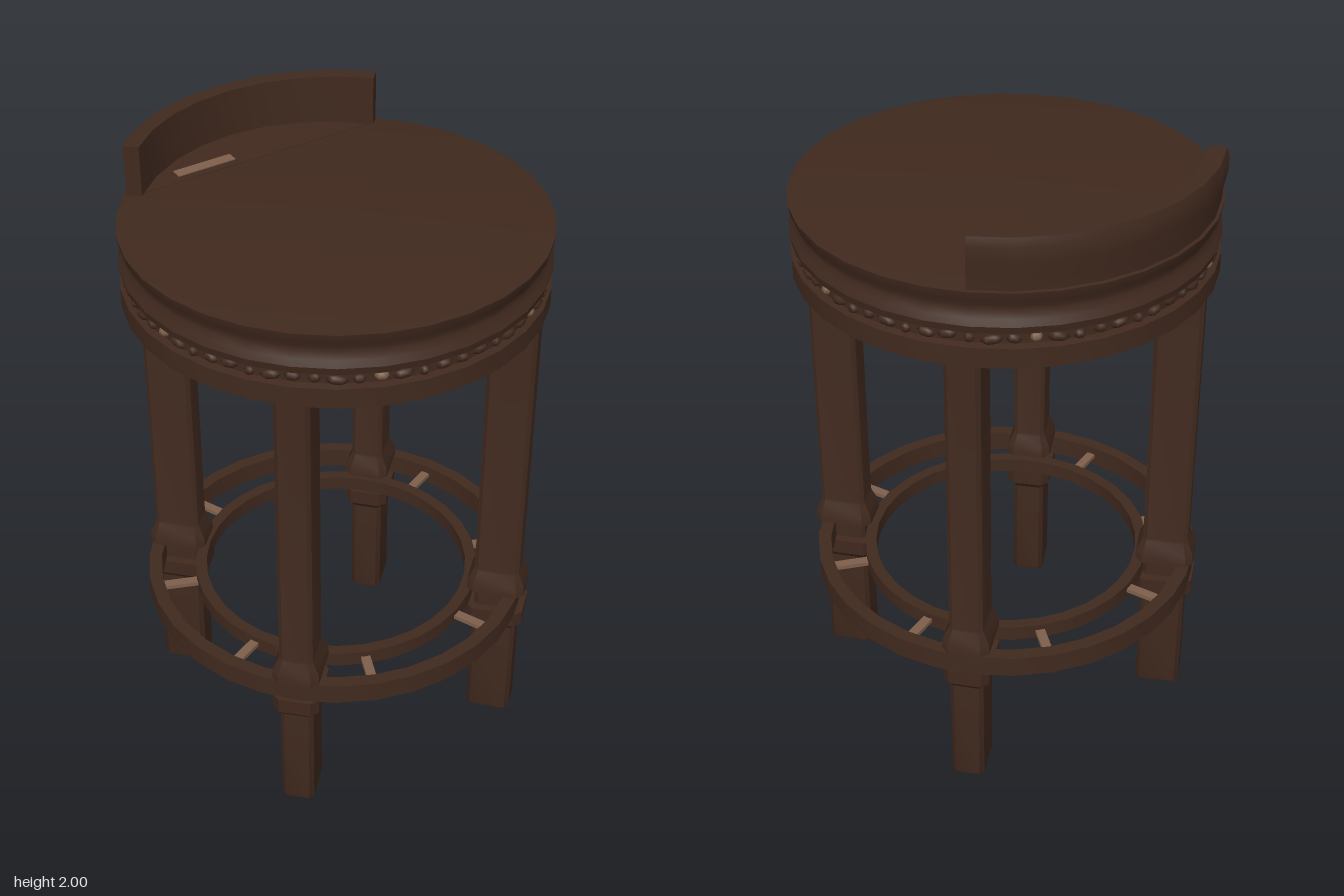
import * as THREE from 'three';
import { toCreasedNormals } from 'three/addons/utils/BufferGeometryUtils.js';

function flatColour(name, color) {
  const material = new THREE.MeshStandardMaterial({ color });
  material.name = name;
  return material;
}
const wood = flatColour('dark wood', 0x40291e);
const paleWood = flatColour('pale inner wood', 0x7d5f4b);
const lining = flatColour('underside lining', 0x5b4a3c);

function add(parent, name, geometry, material = wood) {
  const mesh = new THREE.Mesh(geometry, material);
  mesh.name = name;
  parent.add(mesh);
  return mesh;
}

// Turned part from [radius, height] pairs, going counter-clockwise around the section
function turned(profile, sides = 32, start = 0, sweep = Math.PI * 2) {
  const points = profile.map(([r, y]) => new THREE.Vector2(r, y));
  return toCreasedNormals(new THREE.LatheGeometry(points, sides, start, sweep), 0.6);
}

// Closed rectangular hoop
function hoop(inner, outer, low, high) {
  return turned([[inner, low], [outer, low], [outer, high], [inner, high], [inner, low]]);
}

// Chamfered post: each section is [height, extra thickness]
function post(halfW, halfD, chamfer, sections) {
  const pos = [];
  const rings = sections.map(([y, g]) => {
    const w = halfW + g, d = halfD + g, c = chamfer + Math.max(0, g) * 0.5;
    return [[w, d - c], [w - c, d], [c - w, d], [-w, d - c], [-w, c - d], [c - w, -d], [w - c, -d], [w, c - d]]
      .map(([x, z]) => [x, y, z]);
  });
  const tri = (a, b, c) => pos.push(...a, ...b, ...c);
  for (let i = 0; i < rings.length - 1; i++) {
    for (let j = 0; j < 8; j++) {
      const k = (j + 1) % 8, a = rings[i], b = rings[i + 1];
      tri(a[j], b[j], b[k]);
      tri(a[j], b[k], a[k]);
    }
  }
  const first = rings[0], last = rings[rings.length - 1];
  for (let j = 1; j < 7; j++) {
    tri(first[0], first[j], first[j + 1]);
    tri(last[0], last[j + 1], last[j]);
  }
  const geometry = new THREE.BufferGeometry();
  geometry.setAttribute('position', new THREE.Float32BufferAttribute(pos, 3));
  return toCreasedNormals(geometry, 0.5);
}

function buildSeat() {
  const seat = new THREE.Group();
  seat.name = 'seat';

  // Rim, bead groove, concave cushion edge and flat top
  add(seat, 'seatBody', turned([
    [0.61, 1.6], [0.643, 1.6], [0.643, 1.663], [0.622, 1.668], [0.622, 1.702], [0.638, 1.707],
    [0.643, 1.73], [0.634, 1.75], [0.624, 1.77], [0.626, 1.79], [0.638, 1.808], [0.643, 1.836],
    [0.622, 1.84], [0, 1.84],
  ]));
  // Hollow underside
  add(seat, 'skirtInside', turned([[0.61, 1.735], [0.61, 1.6]]), paleWood);
  add(seat, 'undersideRing', turned([[0.45, 1.735], [0.61, 1.735]]));
  add(seat, 'undersideStep', turned([[0.45, 1.745], [0.45, 1.735]]), paleWood);
  add(seat, 'undersidePanel', turned([[0, 1.745], [0.45, 1.745]]), lining);

  // Small uneven beads in the groove
  const count = 64;
  for (let i = 0; i < count; i++) {
    const a = (i / count) * Math.PI * 2;
    const bead = add(seat, 'bead', new THREE.SphereGeometry(1, 6, 4), i % 11 === 5 ? paleWood : wood);
    bead.scale.set(0.024 + 0.009 * Math.sin(i * 2.3), 0.015, 0.014);
    bead.position.set(Math.sin(a) * 0.622, 1.685 + 0.004 * Math.sin(i * 1.7), Math.cos(a) * 0.622);
    bead.rotation.set(0, a, 0.2 * Math.sin(i * 3.1));
  }
  return seat;
}

function buildBackrest() {
  const back = new THREE.Group();
  back.name = 'backrest';
  const half = 0.79;

  // Curved low wall on the back edge
  add(back, 'backWall', turned([
    [0.585, 1.8], [0.632, 1.8], [0.634, 1.87], [0.645, 1.93], [0.645, 1.975], [0.637, 2],
    [0.585, 2], [0.585, 1.8],
  ], 8, Math.PI - half, half * 2));
  // End faces of the wall
  for (const side of [-1, 1]) {
    const end = add(back, 'backWallEnd', new THREE.BoxGeometry(0.049, 0.2, 0.006));
    end.position.set(side * Math.sin(half) * 0.6095, 1.9, -Math.cos(half) * 0.6095);
    end.rotation.y = side * (Math.PI / 2 - half);
  }

  // Very slight rise from a straight front line up to the wall
  const shape = new THREE.Shape();
  shape.absarc(0, 0, 0.6, Math.PI / 2 - half, Math.PI / 2 + half, false);
  shape.closePath();
  const rise = new THREE.ExtrudeGeometry(shape, { depth: 0.025, bevelEnabled: false, curveSegments: 16 });
  rise.rotateX(-Math.PI / 2);
  const p = rise.attributes.position;
  for (let i = 0; i < p.count; i++) {
    if (p.getY(i) > 0.01) p.setY(i, Math.max(0.003, (-p.getZ(i) - 0.4) * 0.06));
  }
  rise.computeVertexNormals();
  add(back, 'seatRise', rise).position.y = 1.839;

  // Worn pale patch in front of the wall
  const patch = add(back, 'wornPatch', new THREE.BoxGeometry(0.2, 0.003, 0.035), paleWood);
  patch.position.set(-0.17, 1.845, -0.465);
  patch.rotation.x = 0.06;
  return back;
}

function buildLegs() {
  const legs = new THREE.Group();
  legs.name = 'legs';
  // Collars above and below the footrest, slim where the hoop passes
  const geometry = post(0.053, 0.073, 0.013, [
    [0.005, -0.003], [0.015, 0], [0.385, 0], [0.41, 0.02], [0.465, 0.022], [0.466, -0.004],
    [0.534, -0.004], [0.535, 0.022], [0.57, 0.02], [0.61, 0.002], [0.62, 0], [1.734, 0],
  ]);
  const places = {
    frontLeftLeg: [0.368, 0.41], frontRightLeg: [-0.388, 0.378],
    backLeftLeg: [0.392, -0.357], backRightLeg: [-0.372, -0.388],
  };
  for (const [name, [x, z]] of Object.entries(places)) {
    const leg = add(legs, name, geometry);
    leg.position.set(x, 0, z);
    leg.rotation.y = Math.atan2(x, z);
  }
  return legs;
}

function buildFootrest() {
  const footrest = new THREE.Group();
  footrest.name = 'footrest';
  add(footrest, 'outerHoop', hoop(0.585, 0.627, 0.465, 0.535));
  add(footrest, 'innerHoop', hoop(0.435, 0.472, 0.475, 0.525));

  // Short flat spokes between the hoops
  for (let i = 0; i < 8; i++) {
    const a = (i + 0.5) * Math.PI / 4;
    const spoke = add(footrest, 'spoke', new THREE.BoxGeometry(0.03, 0.014, 0.13), paleWood);
    spoke.position.set(Math.sin(a) * 0.53, 0.5, Math.cos(a) * 0.53);
    spoke.rotation.y = a;
  }
  return footrest;
}

export function createModel() {
  const stool = new THREE.Group();
  stool.name = 'roundBarStool';
  stool.add(buildSeat(), buildBackrest(), buildLegs(), buildFootrest());
  return stool;
}
